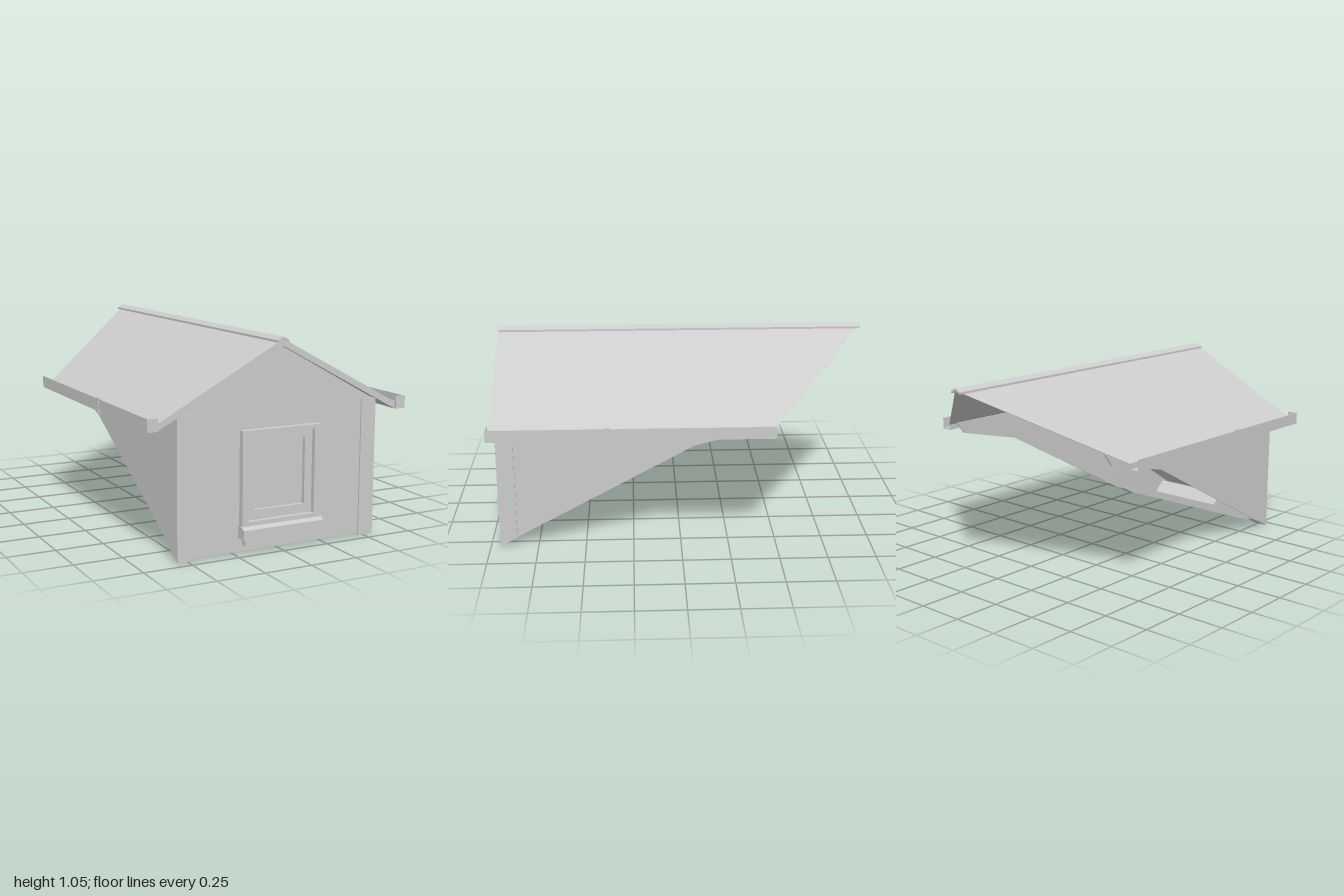
import * as THREE from 'three';

const material = new THREE.MeshStandardMaterial({ color: 0xcccccc, flatShading: true, side: THREE.DoubleSide });

function add(group, name, geometry) {
  const mesh = new THREE.Mesh(geometry, material);
  mesh.name = name;
  group.add(mesh);
}

// Solid between two matching outlines; caps fan out from the first point.
function prism(a, b) {
  const tris = [];
  const n = a.length;
  for (let i = 0; i < n; i++) {
    const j = (i + 1) % n;
    tris.push([a[i], b[i], b[j]], [a[i], b[j], a[j]]);
    if (i > 0 && i < n - 1) tris.push([a[0], a[i], a[i + 1]], [b[0], b[i + 1], b[i]]);
  }
  // Turn the faces outward, whichever side the solid is mirrored to.
  let volume = 0;
  for (const [p, q, r] of tris) {
    volume += new THREE.Vector3(...p).dot(new THREE.Vector3(...q).cross(new THREE.Vector3(...r)));
  }
  if (volume < 0) tris.forEach((t) => t.reverse());
  const geometry = new THREE.BufferGeometry();
  geometry.setAttribute('position', new THREE.Float32BufferAttribute(tris.flat(2), 3));
  geometry.computeVertexNormals();
  return geometry;
}

function box(x0, x1, y0, y1, z0, z1) {
  return new THREE.BoxGeometry(x1 - x0, y1 - y0, z1 - z0)
    .translate((x0 + x1) / 2, (y0 + y1) / 2, (z0 + z1) / 2);
}

const outline = (pts, s = 1) => pts.map(([x, y]) => new THREE.Vector2(s * x, y));
const rect = (x0, x1, y0, y1) => outline([[x0, y0], [x1, y0], [x1, y1], [x0, y1]]);

// Upright panel with an optional hole, between two depths.
function panel(points, hole, z0, z1) {
  const shape = new THREE.Shape(points);
  if (hole) shape.holes.push(new THREE.Path(hole));
  return new THREE.ExtrudeGeometry(shape, { depth: z1 - z0, bevelEnabled: false }).translate(0, 0, z0);
}

export function createModel() {
  const model = new THREE.Group();
  model.name = 'dormer';

  // Gable wall with a window opening
  add(model, 'gableWall', panel(
    outline([[-0.545, 0.01], [0.545, 0.01], [0.545, 0.705], [0, 1.005], [-0.545, 0.705]]),
    rect(-0.18, 0.18, 0.16, 0.59), 0.936, 0.942));

  // Window: casing, sash, pane and the wedge-shaped box behind it
  const win = new THREE.Group();
  win.name = 'window';
  model.add(win);
  add(win, 'casing', panel(rect(-0.22, 0.217, 0.14, 0.61), rect(-0.184, 0.182, 0.162, 0.59), 0.93, 0.975));
  add(win, 'sash', panel(rect(-0.184, 0.182, 0.162, 0.59), rect(-0.143, 0.14, 0.21, 0.545), 0.92, 0.95));
  add(win, 'pane', box(-0.15, 0.15, 0.2, 0.55, 0.92, 0.93));
  const wedge = (x) => [[x, 0.145, 0.925], [x, 0.455, 0.45], [x, 0.58, 0.4], [x, 0.59, 0.925]];
  add(win, 'windowBox', prism(wedge(-0.182), wedge(0.182)));
  const sill = (x) => [[x, 0.08, 0.87], [x, 0.08, 1], [x, 0.128, 1], [x, 0.142, 0.97], [x, 0.142, 0.94]];
  add(win, 'sill', prism(sill(-0.225), sill(0.225)));
  add(win, 'sillApron', box(-0.205, 0.205, 0.043, 0.08, 0.93, 0.98));

  for (const s of [-1, 1]) {
    const side = s > 0 ? 'left' : 'right';

    // Thin side wall, its lower edge following the main roof
    const wall = (x) => [
      [x, 0.55, -0.07], [x, 0.65, -0.47], [x, 0.715, -0.52], [x, 0.705, 0.94], [x, 0.005, 0.94],
    ];
    add(model, side + 'SideWall', prism(wall(s * 0.538), wall(s * 0.545)));

    // Corner post with a sloping foot
    const post = (x) => [[x, 0, 0.95], [x, 0.05, 0.86], [x, 0.71, 0.86], [x, 0.71, 0.95]];
    add(model, side + 'CornerPost', prism(post(s * 0.47), post(s * 0.555)));

    // Roof slope, tapering to a sharp edge where it meets the main roof
    const x = s * 0.665;
    add(model, side + 'RoofSlope', prism(
      [[0, 1.037, 0.965], [x, 0.68, 0.965], [x, 0.645, 0.965], [0, 1.003, 0.965]],
      [[0, 1.037, -1], [x, 0.68, -0.47], [x, 0.677, -0.468], [0, 1.034, -0.998]]));

    // Half of the ridge cap
    const cap = [[0, 1.048], [s * 0.032, 1.031], [s * 0.032, 1.02], [0, 1.035]];
    add(model, side + 'RidgeCap', prism(
      cap.map(([px, y]) => [px, y, 0.967]),
      cap.map(([px, y]) => [px, y, -1])));

    // Thin open gutter against the eave, closed at the front, with a joint bracket
    const gutter = outline([
      [0.662, 0.648], [0.716, 0.648], [0.716, 0.711], [0.71, 0.711],
      [0.71, 0.654], [0.668, 0.654], [0.668, 0.685], [0.662, 0.685],
    ], s);
    add(model, side + 'Gutter', panel(gutter, null, -0.47, 0.975));
    const mid = s * 0.689;
    add(model, side + 'GutterEnd', box(mid - 0.027, mid + 0.027, 0.648, 0.711, 0.968, 0.976));
    const bracket = outline([
      [0.7, 0.642], [0.721, 0.642], [0.721, 0.717], [0.706, 0.717], [0.706, 0.652], [0.7, 0.652],
    ], s);
    add(model, side + 'GutterBracket', panel(bracket, null, 0.36, 0.39));
  }

  return model;
}
